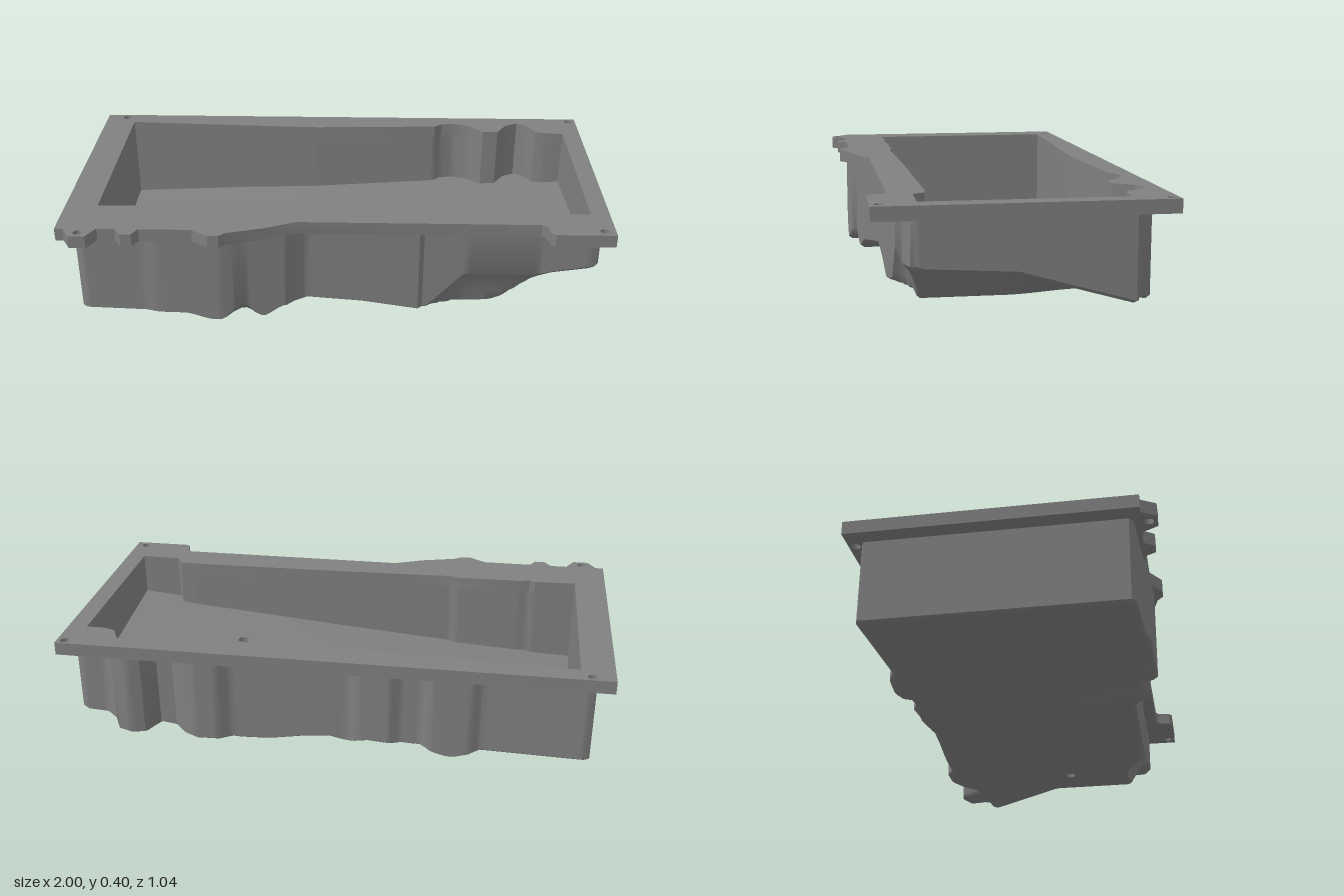
import * as THREE from 'three';
import { toCreasedNormals } from 'three/addons/utils/BufferGeometryUtils.js';

const TOP = 0.404, UNDER = 0.356;
const HOLE = { x: 0.44, z: 0.04, r: 0.021 };
const clamp = (v) => Math.min(1, Math.max(0, v));
const smooth = (v) => { const t = clamp(v); return t * t * (3 - 2 * t); };
const mix = (a, b, t) => a + (b - a) * t;
// maximum with a small blend where both are close
const softMax = (a, b, k) => Math.max(a, b) + Math.max(0, k - Math.abs(a - b)) ** 2 / (4 * k);

// piecewise linear curve through [position, value] knots
function pw(knots, v) {
  if (v <= knots[0][0]) return knots[0][1];
  for (let i = 1; i < knots.length; i++) {
    const [a, p] = knots[i - 1], [b, q] = knots[i];
    if (v <= b) return mix(p, q, (v - a) / (b - a));
  }
  return knots[knots.length - 1][1];
}

// plan outlines: front and back edge of each skin as z over x
const outer = {
  front: [[-0.94, 0.43], [-0.92, 0.445], [-0.7, 0.455], [-0.65, 0.469], [-0.42, 0.475], [-0.37, 0.462],
    [-0.33, 0.445], [-0.27, 0.435], [-0.18, 0.42], [-0.155, 0.395], [-0.11, 0.37], [0.31, 0.371],
    [0.328, 0.352], [0.94, 0.352], [0.965, 0.345], [0.975, 0.33]],
  back: [[-0.94, -0.465], [-0.92, -0.475], [-0.55, -0.458], [-0.51, -0.48], [-0.37, -0.478], [-0.33, -0.45],
    [-0.26, -0.45], [-0.22, -0.47], [-0.11, -0.468], [-0.06, -0.445], [0.37, -0.46], [0.42, -0.49],
    [0.5, -0.492], [0.55, -0.465], [0.6, -0.412], [0.66, -0.412], [0.7, -0.485], [0.75, -0.5],
    [0.8, -0.485], [0.83, -0.43], [0.87, -0.402], [0.95, -0.4], [0.975, -0.385]],
};
const inner = {
  front: [[-0.88, 0.295], [-0.72, 0.288], [-0.7, 0.298], [-0.66, 0.29], [-0.41, 0.285], [-0.38, 0.298],
    [-0.2, 0.29], [0.1, 0.28], [0.7, 0.27], [0.755, 0.275], [0.78, 0.318], [0.93, 0.318]],
  back: [[-0.88, -0.45], [-0.4, -0.427], [-0.1, -0.415], [0.4, -0.435], [0.43, -0.458], [0.48, -0.465],
    [0.54, -0.443], [0.6, -0.385], [0.66, -0.385], [0.7, -0.45], [0.75, -0.475], [0.79, -0.45],
    [0.82, -0.39], [0.86, -0.377], [0.93, -0.375]],
};

// underside of the pan: shallow left half, ribs, deep sump, raised shelf on the right
const LOW = [[-0.94, 0.045], [-0.3, 0.042], [-0.1, 0.055], [0.1, 0.04], [0.34, 0.004], [0.6, 0.002], [0.98, 0.02]];
const SHELF = [[-0.5, 0.025], [0, 0.168], [0.33, 0.188]];
const FRONT_EDGE = [[0.25, -0.1], [0.335, 0], [0.48, 0.155], [0.78, 0.158], [0.97, 0.192]];
function underside(x, z) {
  const inset = pw(outer.front, x) - z;
  const f = clamp((z + 0.45) / 0.82);
  const bump = (c, w) => smooth(1 - Math.abs(x - c) / w);
  let y = pw(LOW, x);
  // slanting rib, side dips and the raised rim beside the rib
  y -= mix(0.02, 0.034, f) * bump(mix(-0.06, -0.27, f), 0.085);
  y -= 0.026 * bump(-0.44, 0.12) * smooth((Math.abs(z) - 0.22) / 0.18);
  y += 0.035 * bump(-0.34, 0.08) * smooth(1 - inset / 0.045);
  y += 0.018 * smooth((-z - 0.02) / 0.3) * smooth((x - 0.2) / 0.2);
  // sump side climbing to the shelf
  const shelf = pw(SHELF, z) * mix(0.86, 1, clamp((x - 0.78) / 0.19));
  y = mix(y, Math.max(y, shelf), smooth((x - 0.57) / 0.24));
  // scooped recess under the front wall
  y = softMax(y, pw(FRONT_EDGE, x) - 0.16 * (Math.max(0, inset) / 0.068) ** 2, 0.02);
  // rounded lower rim
  const d = Math.min(z - pw(outer.back, x), inset, x + 0.94, 0.975 - x);
  return Math.max(0, y) + 0.7 * Math.max(0, 0.016 - d);
}

// inside floor: climbs to the right, leaning slightly to the back there
const FLOOR = [[-0.88, 0.075], [-0.4, 0.11], [0.43, 0.195], [0.93, 0.245]];
function floorHeight(x, z) {
  return pw(FLOOR, x) - 0.07 * clamp((x + 0.4) / 1.3) * clamp((0.32 - z) / 0.75);
}

// a tub: floor grid whose border rows stand up as walls to UNDER
function tub(outline, height, inside) {
  const knots = [...outline.front, ...outline.back].map((k) => k[0]);
  const x0 = Math.min(...knots), x1 = Math.max(...knots);
  const raw = [...knots, x0 + 0.016, x1 - 0.016];
  for (let i = 1; i < 110; i++) {
    const x = mix(x0, x1, i / 110);
    if (knots.every((k) => Math.abs(k - x) > 0.006)) raw.push(x);
  }
  const xs = [...new Set(raw)].sort((a, b) => a - b);
  const cols = [x0, ...xs, x1];
  const ROWS = 64, grid = [];
  cols.forEach((x, i) => {
    const zb = pw(outline.back, x), zf = pw(outline.front, x), line = [];
    for (let j = -1; j <= ROWS + 1; j++) {
      const k = Math.min(ROWS, Math.max(0, j));
      const z = k === 0 ? zb : k === ROWS ? zf : mix(zb + 0.016, zf - 0.016, (k - 1) / (ROWS - 2));
      const rim = i === 0 || i === cols.length - 1 || j < 0 || j > ROWS;
      line.push([x, rim ? UNDER : height(x, z), z]);
    }
    grid.push(line);
  });
  // open a drain hole around the nearest grid point
  let ci = 0, cj = 0, best = 9;
  grid.forEach((l, i) => l.forEach((p, j) => {
    const d = Math.hypot(p[0] - HOLE.x, p[2] - HOLE.z);
    if (d < best) { best = d; ci = i; cj = j; }
  }));
  for (let a = -1; a <= 1; a++) for (let b = -1; b <= 1; b++) {
    const l = Math.hypot(a, b) || 1;
    const x = HOLE.x + HOLE.r * a / l, z = HOLE.z + HOLE.r * b / l;
    grid[ci + a][cj + b] = [x, height(x, z), z];
  }
  const pos = [];
  const tri = (a, b, c) => pos.push(...a, ...(inside ? [...b, ...c] : [...c, ...b]));
  for (let i = 0; i < grid.length - 1; i++) for (let j = 0; j < ROWS + 2; j++) {
    if ((i === ci || i === ci - 1) && (j === cj || j === cj - 1)) continue;
    const a = grid[i][j], b = grid[i][j + 1], c = grid[i + 1][j + 1], d = grid[i + 1][j];
    tri(a, b, c);
    tri(a, c, d);
  }
  const g = new THREE.BufferGeometry();
  g.setAttribute('position', new THREE.Float32BufferAttribute(pos, 3));
  return toCreasedNormals(g, 0.7);
}

// mounting flange with lugs along the front, opening and bolt holes
function flangeGeometry() {
  const edge = [[-1, -0.522], [1, -0.522], [1, 0.47], [0.785, 0.47], [0.77, 0.46], [0.76, 0.41], [0.745, 0.4],
    [-0.14, 0.4], [-0.25, 0.447], [-0.385, 0.485], [-0.41, 0.506], [-0.45, 0.506], [-0.51, 0.466],
    [-0.7, 0.466], [-0.72, 0.503], [-0.76, 0.503], [-0.785, 0.466], [-0.85, 0.466], [-0.88, 0.522],
    [-0.94, 0.522], [-0.97, 0.47], [-1, 0.47]];
  const points = (list) => list.map(([x, z]) => new THREE.Vector2(x, z));
  const shape = new THREE.Shape(points(edge));
  shape.holes.push(new THREE.Path(points([...inner.back, ...[...inner.front].reverse()])));
  for (const [x, z] of [[-0.918, -0.497], [0.97, -0.497], [-0.911, 0.494], [0.96, 0.44]]) {
    shape.holes.push(new THREE.Path().absarc(x, z, 0.016, 0, Math.PI * 2, true));
  }
  const g = new THREE.ExtrudeGeometry(shape, { depth: TOP - UNDER, bevelEnabled: false, curveSegments: 10 });
  g.rotateX(Math.PI / 2).translate(0, TOP, 0);
  return toCreasedNormals(g, 0.5);
}

export function createModel() {
  const group = new THREE.Group();
  group.name = 'pan';
  const material = new THREE.MeshStandardMaterial({ color: 0x808080, side: THREE.DoubleSide });
  const add = (name, geometry) => {
    const mesh = new THREE.Mesh(geometry, material);
    mesh.name = name;
    group.add(mesh);
  };
  add('flange', flangeGeometry());
  add('outerShell', tub(outer, underside, false));
  add('innerCavity', tub(inner, floorHeight, true));

  // sleeve of the drain hole between floor and underside
  const lo = underside(HOLE.x, HOLE.z), hi = floorHeight(HOLE.x, HOLE.z);
  add('drainSleeve', new THREE.CylinderGeometry(HOLE.r, HOLE.r, hi - lo, 16, 1, true)
    .translate(HOLE.x, (hi + lo) / 2, HOLE.z));
  return group;
}
